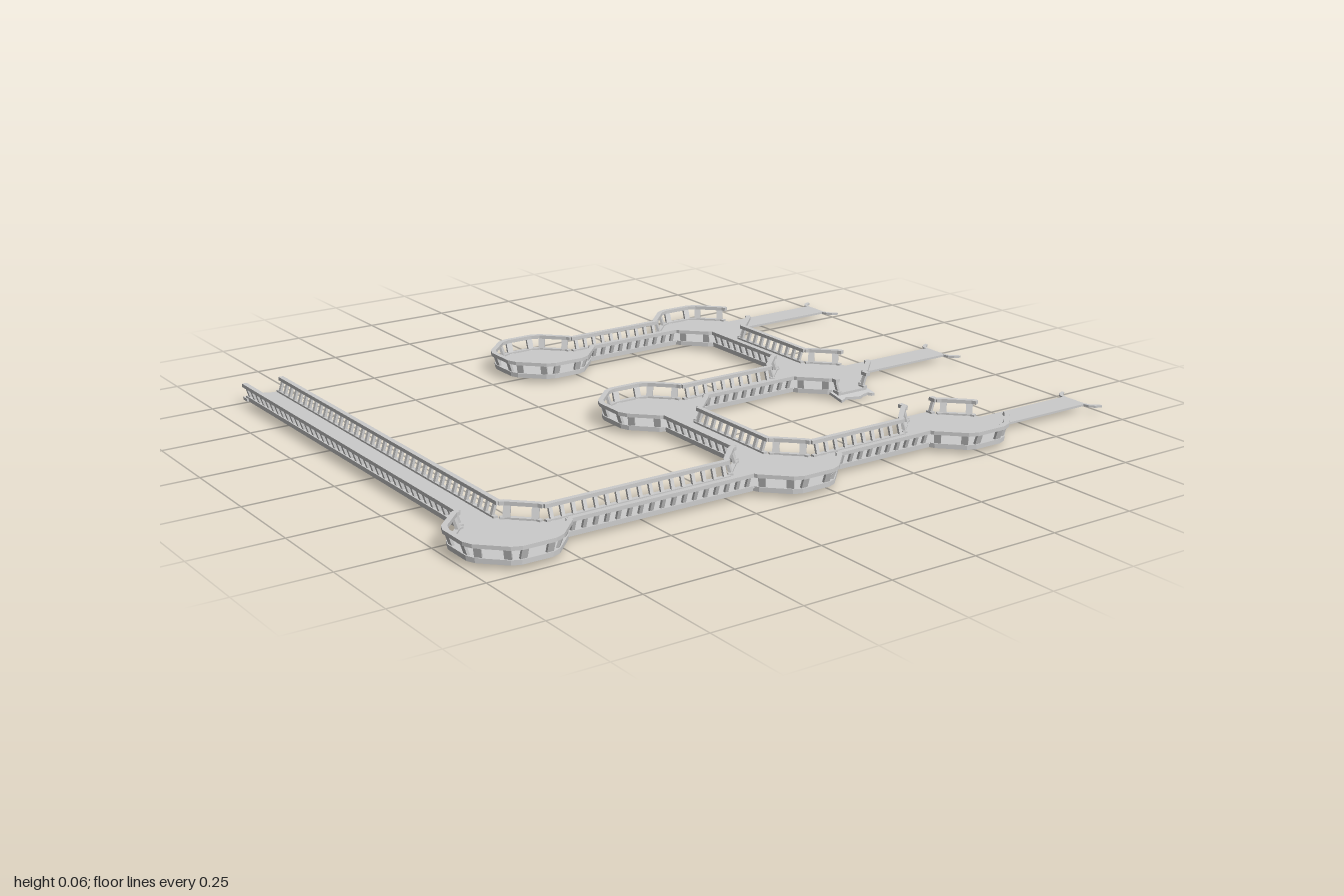
import * as THREE from 'three';
import { mergeGeometries } from 'three/addons/utils/BufferGeometryUtils.js';

const APOTHEM = 0.145, HALF = 0.062;        // platform and walkway sizes at the handrail
const FLOOR_Y = [0.012, 0.02], KERB_Y = [0.018, 0.025], RIM_Y = [0.052, 0.062];

export function createModel() {
  const model = new THREE.Group();
  const material = new THREE.MeshStandardMaterial({ color: 0xcccccc, flatShading: true });

  const add = (name, geometries, parent) => {
    const mesh = new THREE.Mesh(mergeGeometries(geometries), material);
    mesh.name = name;
    parent.add(mesh);
  };

  // Flat plate from a plan outline of [x, z] points
  const slab = (points, [y0, y1]) => {
    const shape = new THREE.Shape(points.map(([x, z]) => new THREE.Vector2(x, -z)));
    const g = new THREE.ExtrudeGeometry(shape, { depth: y1 - y0, bevelEnabled: false });
    return g.rotateX(-Math.PI / 2).translate(0, y0, 0);
  };

  // Post leaning outward along the plan direction (nx, nz)
  const post = (x, z, nx, nz, width) => {
    const g = new THREE.BoxGeometry(width, 0.042, 0.007).toNonIndexed();
    g.rotateX(0.32).rotateY(Math.atan2(nx, nz));
    return g.translate(x, 0.037, z);
  };

  // Platform: chamfered octagon with railings on its closed sides (0 = +x, 2 = +z, 4 = -x, 6 = -z)
  const CORNER = Math.atan2(0.045, APOTHEM);
  const polar = (x, z, r, a) => [x + r * Math.cos(a), z + r * Math.sin(a)];
  const rimRadius = (apothem, a) =>
    Math.abs(a) > CORNER + 0.01
      ? apothem / Math.cos(CORNER) * Math.cos(Math.PI / 8 - CORNER)
      : apothem / Math.cos(CORNER);
  const sideAngles = [-Math.PI / 8, -CORNER, CORNER, Math.PI / 8];
  const sidePoints = (x, z, apothem, k) =>
    sideAngles.map(a => polar(x, z, rimRadius(apothem, a), a + k * Math.PI / 4));

  function platform(x, z, open) {
    const group = new THREE.Group();
    group.name = 'platform';
    const outline = [];
    const rims = [], kerbs = [], posts = [];
    for (let k = 0; k < 8; k++) {
      outline.push(...sidePoints(x, z, 0.134, k).slice(1, 3));
      if (open.includes(k)) continue;
      const band = (outer, inner, y) =>
        slab([...sidePoints(x, z, outer, k), ...sidePoints(x, z, inner, k).reverse()], y);
      rims.push(band(APOTHEM, 0.131, RIM_Y));
      kerbs.push(band(0.135, 0.123, KERB_Y));
      const a = k * Math.PI / 4, nx = Math.cos(a), nz = Math.sin(a);
      for (const t of [-0.035, 0.035]) {
        posts.push(post(x + nx * 0.132 - nz * t, z + nz * 0.132 + nx * t, nx, nz, 0.018));
      }
    }
    add('platformFloor', [slab(outline, FLOOR_Y)], group);
    add('platformHandrail', rims, group);
    add('platformKerb', kerbs, group);
    add('platformPosts', posts, group);
    model.add(group);
  }

  // Straight walkway between two plan points, railed on both sides
  function walkway(x0, z0, x1, z1, name = 'walkway') {
    const group = new THREE.Group();
    group.name = name;
    const length = Math.hypot(x1 - x0, z1 - z0);
    const ux = (x1 - x0) / length, uz = (z1 - z0) / length;
    const at = (d, s) => [x0 + ux * d - uz * s, z0 + uz * d + ux * s];
    const strip = (s0, s1, y) =>
      slab([at(0, s0), at(length, s0), at(length, s1), at(0, s1)], y);
    const rims = [], kerbs = [], posts = [];
    const count = Math.max(1, Math.round((length - 0.02) / 0.03));
    for (const s of [-1, 1]) {
      rims.push(strip(s * 0.048, s * HALF, RIM_Y));
      kerbs.push(strip(s * 0.04, s * 0.052, KERB_Y));
      for (let i = 0; i < count; i++) {
        const [px, pz] = at((i + 0.5) * length / count, s * 0.049);
        posts.push(post(px, pz, -uz * s, ux * s, 0.01));
      }
    }
    add('walkwayFloor', [strip(-0.051, 0.051, FLOOR_Y)], group);
    add('walkwayHandrails', rims, group);
    add('walkwayKerbs', kerbs, group);
    add('walkwayPosts', posts, group);
    model.add(group);
  }

  // Ragged floor edge: [across, along] steps, sagging with distance
  function brokenEdge(x, z, dir, width, start, end, sag) {
    const ragged = [[-1, 0], [-0.8, -0.004], [-0.6, -0.011], [-0.2, -0.004], [0.15, 0],
      [0.4, -0.007], [0.7, -0.01], [0.85, -0.002], [1, -0.001]];
    const points = [[x + width, z + dir * start], [x - width, z + dir * start],
      ...ragged.map(([s, d]) => [x + s * width, z + dir * (end + d)])];
    const g = slab(points, FLOOR_Y);
    const p = g.attributes.position;
    for (let i = 0; i < p.count; i++) {
      const t = (Math.abs(p.getZ(i) - z) - start) / (end - start);
      p.setY(i, p.getY(i) - sag * t);
    }
    g.computeVertexNormals();
    add('brokenFloorEdge', [g], model);
  }

  // Narrow gangplank with a forked end
  function gangplank(z) {
    const side = [[0.645, 0.04], [0.966, 0.04], [0.97, 0.056], [0.982, 0.07], [1, 0.077],
      [1, 0.068], [0.988, 0.062], [0.978, 0.05], [0.973, 0.036]];
    const points = [...side.map(([x, s]) => [x, z + s]),
      ...side.map(([x, s]) => [x, z - s]).reverse()];
    add('gangplank', [slab(points, [0.014, 0.02])], model);
  }

  const X = [-0.853, -0.05, 0.523], Z = [-0.55, 0.022, 0.596];
  platform(X[0], Z[2], [0, 6]);
  platform(X[1], Z[2], [0, 4, 6]);
  platform(X[2], Z[2], [0, 4, 6]);
  platform(X[1], Z[1], [0, 2]);
  platform(X[2], Z[1], [0, 2, 4, 6]);
  platform(X[1], Z[0], [0]);
  platform(X[2], Z[0], [0, 2, 4]);

  const E = 0.132;
  walkway(X[0] + E, Z[2], X[1] - E, Z[2]);
  for (const z of Z) walkway(X[1] + E, z, X[2] - E, z);
  walkway(X[1], Z[1] + E, X[1], Z[2] - E);
  walkway(X[2], Z[0] + E, X[2], Z[1] - E);
  walkway(X[0], -0.735, X[0], Z[2] - E, 'longWalkway');

  // Snapped-off ends
  brokenEdge(X[0], 0, -1, 0.056, 0.72, 0.746, 0);
  brokenEdge(X[2], Z[1], 1, 0.06, 0.12, 0.18, 0.012);
  brokenEdge(X[2], Z[2], -1, 0.06, 0.12, 0.172, 0.012);
  walkway(X[2], Z[1] + E, X[2], Z[1] + 0.155, 'brokenWalkway');
  walkway(X[2], Z[2] - E, X[2], Z[2] - 0.155, 'brokenWalkway');

  for (const z of Z) gangplank(z);
  return model;
}
